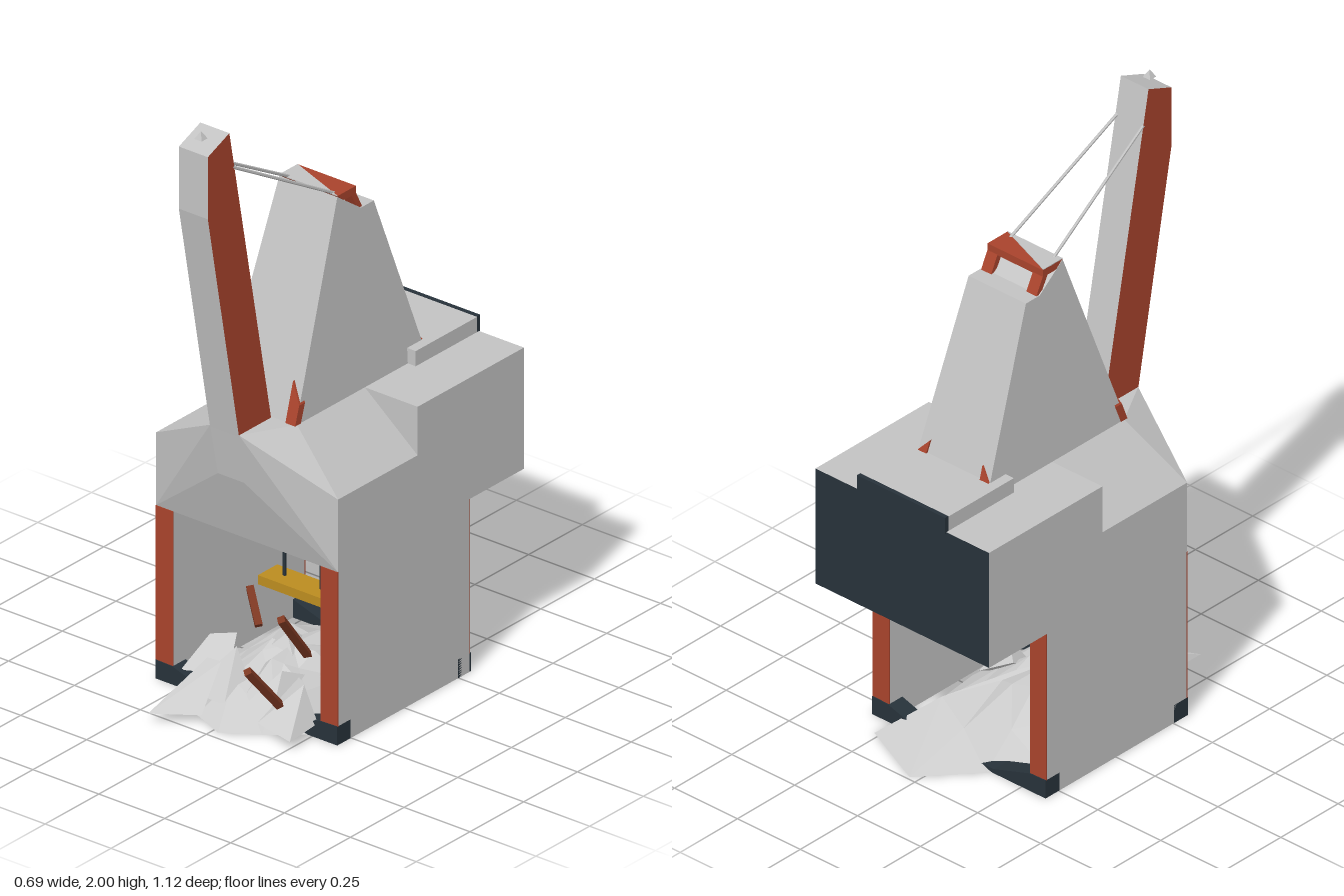
import * as THREE from 'three';
import { ConvexGeometry } from 'three/addons/geometries/ConvexGeometry.js';

const mat = (name, color, side = THREE.FrontSide) => {
  const m = new THREE.MeshStandardMaterial({ color, side, flatShading: true });
  m.name = name;
  return m;
};

export function createModel() {
  const concrete = mat('concrete grey', 0xc2c2c2);
  const red = mat('rust red', 0xa8432c);
  const navy = mat('dark navy', 0x27323a);
  const yellow = mat('yellow', 0xbb8c20);
  const wood = mat('brown timber', 0x7d3822);
  const stone = mat('pale rubble', 0xcccccc, THREE.DoubleSide);

  const root = new THREE.Group();
  const add = (name, geo, material) => {
    const m = new THREE.Mesh(geo, material);
    m.name = name;
    root.add(m);
    return m;
  };
  // box given by its extents
  const box = (name, material, x0, x1, y0, y1, z0, z1) =>
    add(name, new THREE.BoxGeometry(x1 - x0, y1 - y0, z1 - z0), material)
      .position.set((x0 + x1) / 2, (y0 + y1) / 2, (z0 + z1) / 2);
  const hull = (name, material, pts) =>
    add(name, new ConvexGeometry(pts.map(p => new THREE.Vector3(...p))), material);
  // side profile of [z, y] points, extruded across x
  const profile = (pts, half, cx = 0) => {
    const shape = new THREE.Shape(pts.map(p => new THREE.Vector2(...p)));
    const g = new THREE.ExtrudeGeometry(shape, { depth: half * 2, bevelEnabled: false });
    return g.translate(0, 0, -half).rotateY(-Math.PI / 2).translate(cx, 0, 0);
  };
  // straight bar between two points
  const bar = (name, material, a, b, radius, sides) => {
    const p = new THREE.Vector3(...a), q = new THREE.Vector3(...b);
    const m = add(name, new THREE.CylinderGeometry(radius, radius, p.distanceTo(q), sides), material);
    m.position.copy(p).add(q).multiplyScalar(0.5);
    m.quaternion.setFromUnitVectors(new THREE.Vector3(0, 1, 0), q.sub(p).normalize());
  };
  const both = pts => pts.flatMap(([x, y, z]) => [[x, y, z], [-x, y, z]]);

  // gate walls, with red posts on their ends
  for (const s of [-1, 1]) {
    const [a, b] = s > 0 ? [0.28, 0.345] : [-0.345, -0.28];
    box('sideWall', concrete, a, b, 0, 0.57, -0.301, 0.308);
    box('frontPost', red, a, b, 0.06, 0.57, 0.307, 0.312);
    box('backPost', red, a, b, 0.06, 0.57, -0.305, -0.3);
  }

  // dished sills across both openings
  for (const z of [0.253, -0.308]) {
    const s = new THREE.Shape();
    s.moveTo(-0.345, 0);
    s.lineTo(0.345, 0);
    s.lineTo(0.345, 0.062);
    s.lineTo(0.28, 0.06);
    s.lineTo(0.14, 0.015);
    s.lineTo(-0.14, 0.015);
    s.lineTo(-0.28, 0.06);
    s.lineTo(-0.345, 0.062);
    add('sill', new THREE.ExtrudeGeometry(s, { depth: 0.061, bevelEnabled: false }), navy)
      .position.z = z;
  }

  // upper hall: rear block with dark back, faceted front
  box('rearBlock', [concrete, concrete, concrete, concrete, concrete, navy],
    -0.345, 0.345, 0.57, 0.97, -0.555, -0.06);
  hull('facetedFront', concrete, both([
    [0.345, 0.57, 0.31], [0.345, 0.81, 0.31], [0.05, 0.8, 0.385], [0.055, 0.97, 0.415],
    [0.145, 0.97, 0.255], [0.145, 0.97, -0.06], [0.345, 0.81, -0.06], [0.345, 0.57, -0.06],
  ]));
  box('roofBox', concrete, -0.175, 0.175, 0.97, 1.02, -0.546, -0.26);
  box('roofBoxBack', navy, -0.175, 0.175, 0.965, 1.022, -0.56, -0.546);

  // tapering tower
  const tower = profile([[0.26, 0.97], [-0.345, 0.97], [-0.14, 1.545], [-0.08, 1.545], [0.025, 1.62]], 1);
  const pos = tower.attributes.position;
  for (let i = 0; i < pos.count; i++) {
    pos.setX(i, pos.getX(i) * (0.145 - 0.054 * (pos.getY(i) - 0.97)));
  }
  tower.computeVertexNormals();
  add('tower', tower, concrete);

  // red feet on the tower corners
  for (const s of [-1, 1]) {
    for (const [f, z0, h] of [[1, 0.26, 0.12], [-1, -0.345, 0.09]]) {
      const outline = [[0.147, 0], [0.145, h / 2], [0.104, h], [0.11, 0]];
      hull('towerFoot', red, outline.flatMap(([x, y]) =>
        [0.007, -0.02].map(o => [s * x, 0.97 + y, z0 + f * (o - 0.36 * y)])));
    }
  }

  // canopy on the tower top
  add('canopy', profile([[0.025, 1.623], [-0.005, 1.598], [-0.062, 1.598], [-0.062, 1.623]], 0.11), red);
  for (const x of [-0.09, 0.09]) {
    add('canopyLeg', profile([[-0.04, 1.6], [-0.07, 1.545], [-0.09, 1.545], [-0.062, 1.6]], 0.02, x), red);
  }
  hull('canopyPlate', concrete, [1.622, 1.625].flatMap(y =>
    [[-0.11, y, -0.06], [-0.11, y, 0.025], [0.11, y, 0.025]]));

  // leaning boom with red cheeks and grey edges
  add('boom', profile([[0.415, 0.965], [0.265, 0.965], [0.46, 1.985], [0.56, 1.945], [0.56, 1.74]], 0.055),
    [red, concrete]);
  add('boomTip', new THREE.ConeGeometry(0.02, 0.025, 4).rotateY(Math.PI / 4), concrete)
    .position.set(0, 1.9875, 0.525);

  // stays and hanging lifting bar
  for (const s of [-1, 1]) {
    bar('stay', concrete, [s * 0.085, 1.62, 0.01], [s * 0.05, 1.87, 0.45], 0.005, 6);
    bar('hoistCable', navy, [s * 0.07, 0.32, 0.05], [s * 0.07, 0.575, 0.05], 0.006, 6);
  }
  box('liftingBar', yellow, -0.13, 0.13, 0.295, 0.325, 0.01, 0.1);

  // low heap of rubble: rings shrinking toward the crest
  const rim = [[0.03, -0.49], [-0.12, -0.32], [-0.26, -0.2], [-0.27, 0.1], [-0.24, 0.3], [-0.1, 0.42],
    [0.02, 0.47], [0.13, 0.4], [0.25, 0.3], [0.27, 0.05], [0.24, -0.2], [0.27, -0.38]];
  const n = rim.length, verts = [], index = [];
  [[1, 0], [0.62, 0.07], [0.28, 0.12], [0, 0.14]].forEach(([k, y], r) => rim.forEach(([x, z], i) => {
    verts.push(x * k, y + (r % 3 ? 0.015 * ((i * 5 + r) % 3 - 1) : 0), 0.1 + (z - 0.1) * k);
    const j = (i + 1) % n, a = r * n;
    if (r < 3) index.push(a + i, a + j, a + n + i, a + j, a + n + j, a + n + i);
  }));
  const heap = new THREE.BufferGeometry();
  heap.setAttribute('position', new THREE.Float32BufferAttribute(verts, 3));
  heap.setIndex(index.reverse());
  const flatHeap = heap.toNonIndexed();
  flatHeap.computeVertexNormals();
  add('rubbleHeap', flatHeap, stone);

  // broken slabs: low base corners and a raised crest
  [
    [[-0.18, 0.03, 0.55], [-0.19, 0.04, 0.37], [-0.05, 0.03, 0.46], [-0.09, 0.14, 0.32], [-0.15, 0.13, 0.31]],
    [[-0.19, 0.03, 0.36], [-0.03, 0.04, 0.38], [0, 0.05, 0.28], [-0.08, 0.17, 0.26], [-0.16, 0.09, 0.2]],
    [[0.26, 0.03, 0.43], [0.12, 0.04, 0.41], [0.26, 0.04, 0.3], [0.2, 0.145, 0.29], [0.14, 0.13, 0.24]],
    [[0.02, 0.03, 0.4], [0.15, 0.03, 0.39], [0.04, 0.06, 0.24], [0.1, 0.15, 0.27], [0.13, 0.12, 0.2]],
    [[-0.26, 0.05, 0.3], [-0.27, 0.05, 0.14], [-0.12, 0.06, 0.25], [-0.23, 0.14, 0.2], [-0.16, 0.15, 0.16]],
    [[-0.1, 0.08, 0.16], [0.08, 0.08, 0.17], [0.05, 0.08, 0], [-0.02, 0.17, 0.1], [-0.09, 0.15, 0.02]],
    [[0.1, 0.05, 0.15], [0.25, 0.04, 0.16], [0.22, 0.05, 0.02], [0.17, 0.14, 0.1], [0.1, 0.12, 0.04]],
  ].forEach(p => hull('rubbleSlab', stone, p));

  // splintered beams sticking out of the heap
  bar('brokenBeam', wood, [0.172, 0.1, 0.37], [0.16, 0.26, 0.505], 0.016, 4);
  bar('brokenBeam', wood, [0.062, 0.12, 0.1], [0.08, 0.305, 0.25], 0.016, 4);
  bar('brokenBeam', wood, [-0.2, 0.1, 0.01], [-0.275, 0.185, -0.04], 0.016, 4);

  return root;
}
